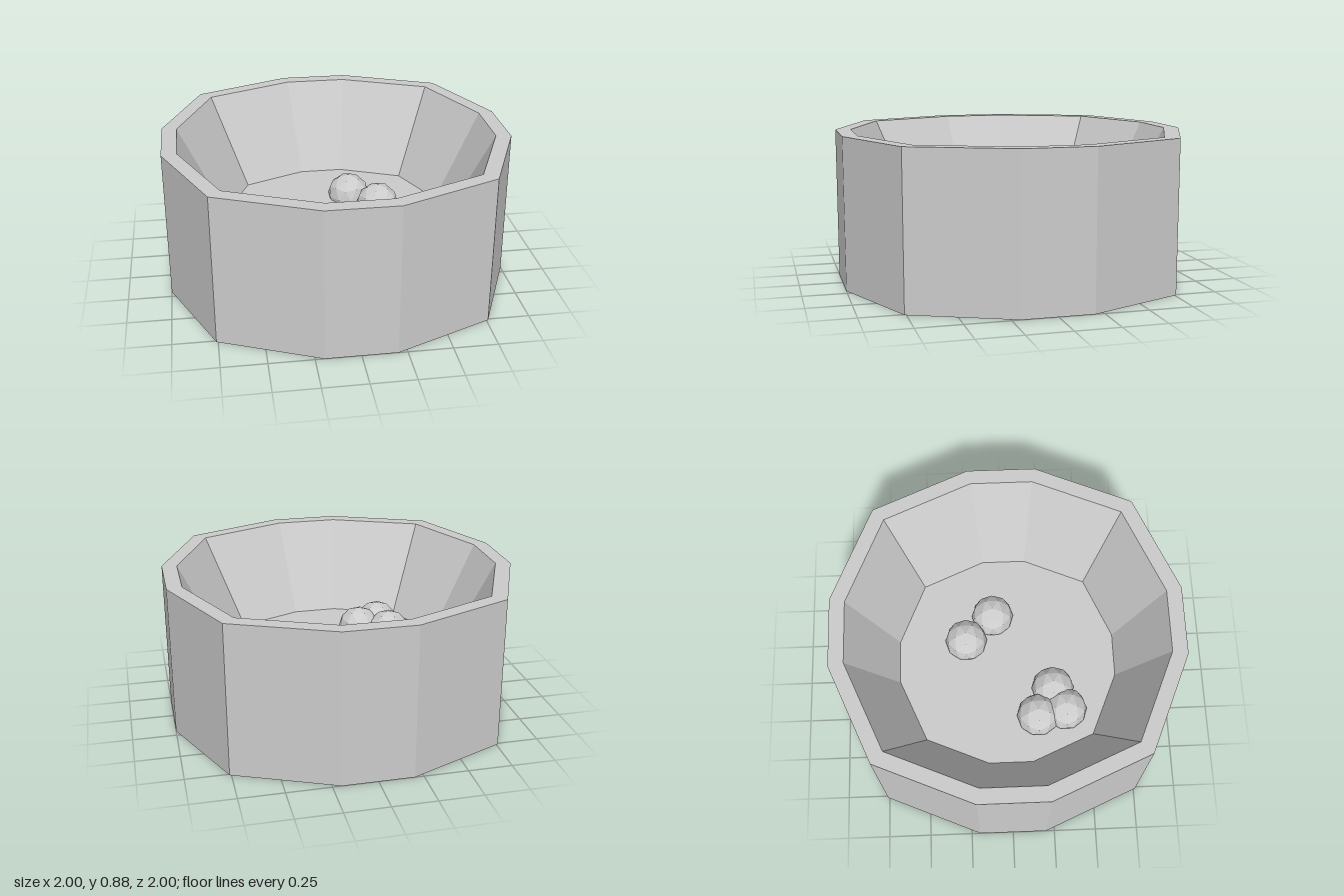
import * as THREE from 'three';

const material = new THREE.MeshStandardMaterial({ color: 0xcccccc, flatShading: true });

// Twelve-cornered outline of the bowl, listed as x, z once round from the front
function outline() {
  const quarter = [[0.2, 1], [0.76, 0.76], [1, 0.2]];
  const corners = [];
  for (let q = 0; q < 4; q++) {
    for (const [x, z] of quarter) {
      let p = [x, z];
      for (let k = 0; k < q; k++) p = [p[1], -p[0]];
      corners.push(p);
    }
  }
  return corners;
}

// Closed profile swept round, then each column is moved onto its outline corner
function bowlGeometry() {
  const profile = [
    [0, 0], [1, 0], [1, 0.875], [0.913, 0.875], [0.649, 0.34], [0, 0.34],
  ].map(([r, y]) => new THREE.Vector2(r, y));
  const corners = outline();
  const geometry = new THREE.LatheGeometry(profile, corners.length);
  const position = geometry.attributes.position;
  for (let i = 0; i < position.count; i++) {
    const [x, z] = corners[Math.floor(i / profile.length) % corners.length];
    const r = profile[i % profile.length].x;
    position.setX(i, x * r);
    position.setZ(i, z * r);
  }
  const flat = geometry.toNonIndexed();
  flat.computeVertexNormals();
  return flat;
}

export function createModel() {
  const model = new THREE.Group();

  const bowl = new THREE.Mesh(bowlGeometry(), material);
  bowl.name = 'bowl';
  model.add(bowl);

  // Faceted balls half sunk in the bowl floor, one corner pointing up
  const balls = new THREE.Group();
  balls.name = 'balls';
  const ballGeometry = new THREE.IcosahedronGeometry(0.127, 1);
  ballGeometry.rotateZ(Math.atan(2 / (1 + Math.sqrt(5))));
  const places = [[0.12, -0.245], [0.275, -0.08], [-0.37, 0.172], [-0.203, 0.267], [-0.338, 0.337]];
  places.forEach(([x, z], i) => {
    const ball = new THREE.Mesh(ballGeometry, material);
    ball.name = `ball${i + 1}`;
    ball.position.set(x, 0.36, z);
    balls.add(ball);
  });
  model.add(balls);

  return model;
}
